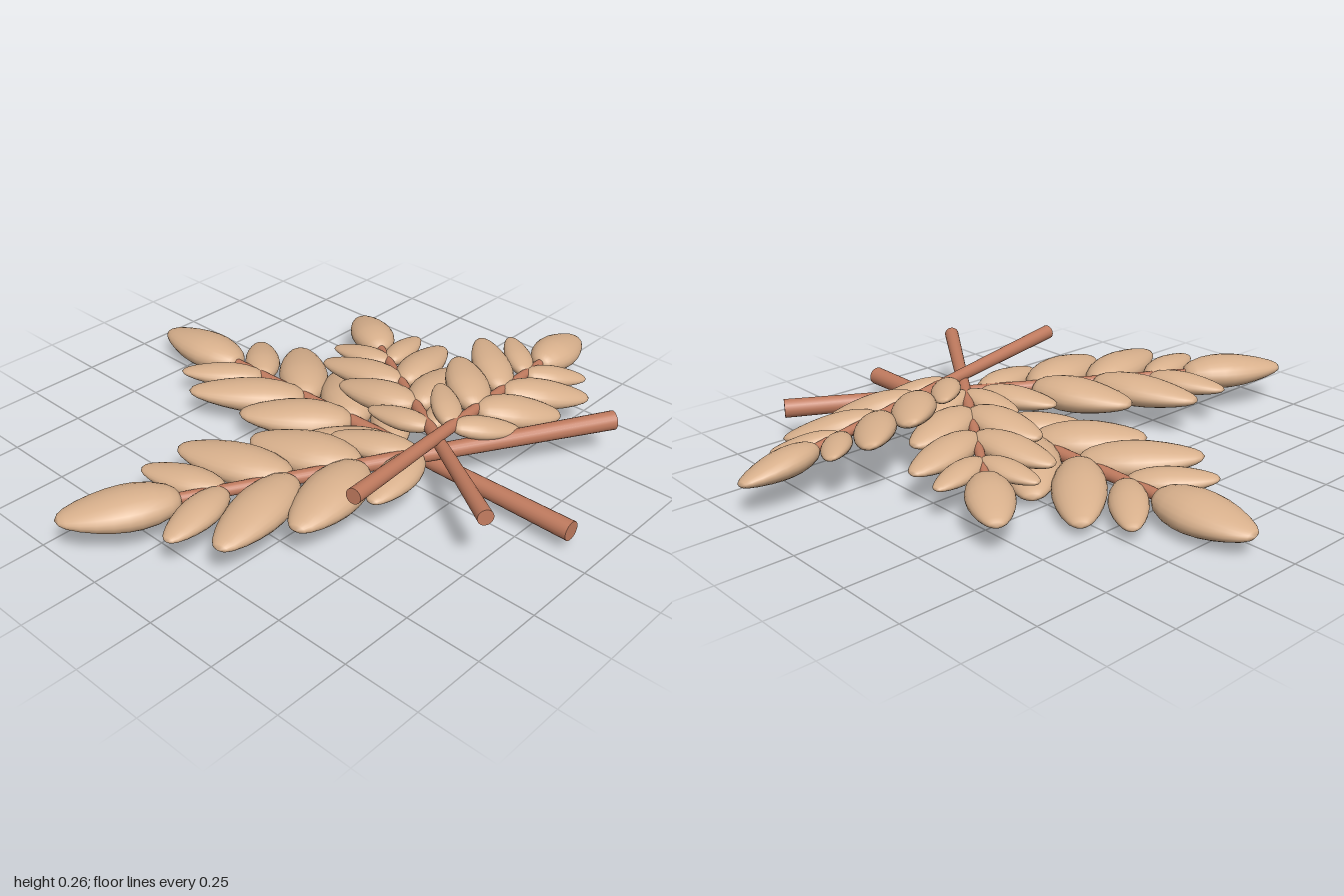
import * as THREE from 'three';
import { mergeVertices } from 'three/addons/utils/BufferGeometryUtils.js';

const leafMat = new THREE.MeshStandardMaterial({ name: 'pale tan leaf', color: 0xd8b08c });
const stemMat = new THREE.MeshStandardMaterial({ name: 'russet stem', color: 0xbf7a5e });

// Plump unit leaf: base at the origin, tip at z = -1, flattened towards the tip
function makeLeafGeometry() {
  const profile = [[0, 0], [0.25, 0.012], [0.45, 0.04], [0.66, 0.1], [0.87, 0.22], [0.98, 0.35], [1, 0.45],
    [0.96, 0.57], [0.84, 0.7], [0.67, 0.82], [0.46, 0.92], [0.28, 0.97], [0, 1]];
  let geo = new THREE.LatheGeometry(profile.map(([r, y]) => new THREE.Vector2(r / 2, y)), 24);
  geo.rotateX(-Math.PI / 2);
  const p = geo.attributes.position;
  for (let i = 0; i < p.count; i++) {
    const u = -p.getZ(i);
    p.setY(i, p.getY(i) * (1.12 - 0.35 * u));
  }
  geo.deleteAttribute('uv');
  geo.deleteAttribute('normal');
  geo = mergeVertices(geo, 1e-5);
  geo.computeVertexNormals();
  return geo;
}

const THICKNESS = 0.62;
const STEM_LENGTH = 1.5;
// Side leaf pairs: base along stem, tip along stem, tip sideways, width
const PAIRS = [
  [0.68, 0.905, 0.195, 0.13],
  [0.87, 1.155, 0.255, 0.19],
  [1.09, 1.385, 0.275, 0.175],
  [1.30, 1.515, 0.195, 0.125],
];

function addLeaf(sprig, geo, name, base, tip, side, width) {
  const leaf = new THREE.Mesh(geo, leafMat);
  leaf.name = name;
  leaf.position.z = -base;
  leaf.rotation.y = -Math.atan2(side, tip - base);
  leaf.scale.set(width, width * THICKNESS, Math.hypot(side, tip - base));
  sprig.add(leaf);
}

// One sprig running from its cut stem end to its leaf tip
function makeSprig(name, geo, end, tip, roll) {
  const sprig = new THREE.Group();
  sprig.name = name;

  const stemGeo = new THREE.CylinderGeometry(0.018, 0.032, STEM_LENGTH, 20);
  stemGeo.rotateX(-Math.PI / 2);
  const stem = new THREE.Mesh(stemGeo, stemMat);
  stem.name = 'stem';
  stem.position.z = -STEM_LENGTH / 2;
  sprig.add(stem);

  for (const [base, tipAlong, side, width] of PAIRS) {
    addLeaf(sprig, geo, 'rightLeaf', base, tipAlong, side, width);
    addLeaf(sprig, geo, 'leftLeaf', base, tipAlong, -side, width);
  }
  addLeaf(sprig, geo, 'endLeaf', 1.43, 1.805, 0, 0.19);

  const from = new THREE.Vector3(...end);
  const d = new THREE.Vector3(...tip).sub(from);
  const length = d.length();
  sprig.position.copy(from);
  sprig.rotation.set(Math.asin(d.y / length), Math.atan2(-d.x, -d.z), roll, 'YXZ');
  sprig.scale.setScalar(length / 1.805);
  return sprig;
}

export function createModel() {
  const model = new THREE.Group();
  model.name = 'leafSprigs';
  const geo = makeLeafGeometry();
  model.add(
    makeSprig('backSprig', geo, [0.06, 0.078, 0.905], [0.06, 0.078, -0.905], -0.11),
    makeSprig('rightSprig', geo, [0.58, 0.14, 0.71], [-1.0, 0.14, -0.17], 0),
    makeSprig('backLeftSprig', geo, [-0.21, 0.213, 0.785], [0.59, 0.11, -0.41], 0),
    makeSprig('leftSprig', geo, [-0.425, 0.247, 0.477], [0.995, 0.125, 0.29], -0.2),
  );
  return model;
}
